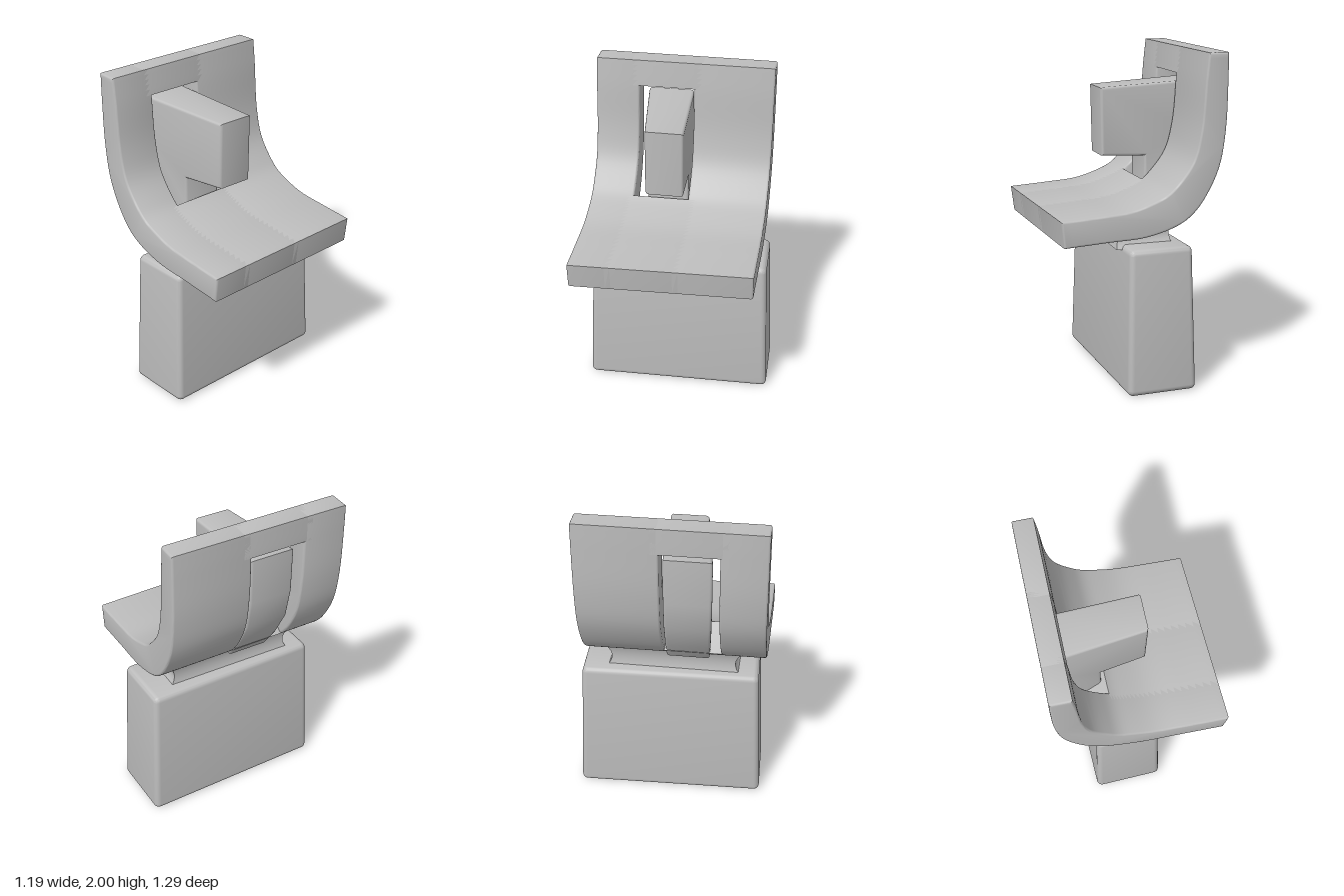
import * as THREE from 'three';
import { toCreasedNormals } from 'three/addons/utils/BufferGeometryUtils.js';
import { RoundedBoxGeometry } from 'three/addons/geometries/RoundedBoxGeometry.js';

const clay = new THREE.MeshStandardMaterial({ color: 0xbdbdbd });
clay.name = 'clay grey';

// Side profile of the shell, paired stations from the top of the back to the seat front
const curve = (pts) => new THREE.CatmullRomCurve3(pts.map(([x, y]) => new THREE.Vector3(x, y, 0)));
const inner = curve([[-0.377, 2], [-0.36, 1.84], [-0.335, 1.55], [-0.285, 1.37], [-0.18, 1.235],
  [-0.12, 1.185], [-0.03, 1.145], [0.107, 1.105], [0.31, 1.087], [0.545, 1.072]]);
const outer = curve([[-0.505, 2], [-0.505, 1.84], [-0.495, 1.55], [-0.455, 1.33], [-0.36, 1.145],
  [-0.28, 1.055], [-0.19, 1.0], [0.005, 0.945], [0.26, 0.93], [0.525, 0.915]]);

// Moves every vertex by a rule, then rebuilds smooth normals with sharp creases
function reshape(geometry, rule) {
  const p = geometry.attributes.position;
  const v = new THREE.Vector3();
  for (let i = 0; i < p.count; i++) {
    rule(v.fromBufferAttribute(p, i));
    p.setXYZ(i, v.x, v.y, v.z);
  }
  return toCreasedNormals(geometry, 0.65);
}

// Bevelled slab with a side outline, spanning z0 to z1
function slab(points, z0, z1, bevel) {
  const geometry = new THREE.ExtrudeGeometry(new THREE.Shape(points), {
    depth: z1 - z0 - 2 * bevel, bevelSize: bevel, bevelThickness: bevel,
    bevelOffset: -bevel, bevelSegments: 3, curveSegments: 8,
  });
  return geometry.translate(0, 0, z0 + bevel);
}

// Part of the shell between two stations
function shellPart(from, to, z0, z1) {
  const n = Math.ceil((to - from) * 5);
  const side = (c) => Array.from({ length: n + 1 }, (_, i) => {
    const q = c.getPoint((from + (to - from) * i / n) / 9);
    return new THREE.Vector2(q.x, q.y);
  });
  const geometry = slab([...side(inner), ...side(outer).reverse()], z0, z1, 0.013);
  // front edge runs slightly askew
  return reshape(geometry, (v) => { v.x += 0.04 * (v.z - 0.55) * Math.max(0, v.x + 0.5); });
}

export function createModel() {
  const model = new THREE.Group();
  model.name = 'chair';
  const body = new THREE.Group();
  body.name = 'turnedBody';
  body.rotation.y = -THREE.MathUtils.degToRad(11);
  model.add(body);

  const add = (name, geometry) => {
    const mesh = new THREE.Mesh(geometry, clay);
    mesh.name = name;
    body.add(mesh);
    return mesh;
  };

  // Curved shell around the slot; middle parts overlap the sides to close the seams
  add('shellLeftSide', shellPart(0, 9, 0.28, 0.55));
  add('shellRightSide', shellPart(0, 9, -0.55, -0.06));
  add('backTopRail', shellPart(0, 1, -0.12, 0.34));
  add('seatMiddle', shellPart(4.8, 9, -0.12, 0.34));

  // Post rising through the slot, with the block reaching forward over the seat
  const outline = [[-0.47, 1.79], [0.122, 1.765], [0.112, 1.35], [-0.165, 1.335], [-0.165, 1.18],
    [-0.13, 1.0], [-0.25, 1.0], [-0.345, 1.14], [-0.43, 1.31], [-0.465, 1.5]];
  const post = slab(outline.map(([x, y]) => new THREE.Vector2(x, y)), -0.05, 0.223, 0.018);
  add('postAndBlock', reshape(post, (v) => {
    const s = (v.x + 0.36) / 0.48;
    const k = (v.z + 0.05) / 0.273;
    v.z -= s * (0.024 + 0.043 * k);
  }));

  // Neck flaring out towards the seat and the pedestal
  const neck = new THREE.BoxGeometry(0.32, 0.16, 0.76, 1, 8, 1);
  add('neck', reshape(neck, (v) => {
    const flare = 1 + 0.1 * (v.y / 0.08) ** 2;
    v.x *= flare;
    v.z *= flare;
  })).position.set(-0.04, 0.935, -0.02);

  // Tapered pedestal
  const pedestal = new RoundedBoxGeometry(0.43, 0.88, 1.15, 4, 0.035);
  const base = add('pedestal', reshape(pedestal, (v) => {
    const t = v.y / 0.88 + 0.5;
    v.x *= 1 - 0.1 * t;
    v.z *= 1 - 0.06 * t;
  }));
  base.position.set(-0.08, 0.44, -0.04);
  base.rotation.y = 0.03;

  return model;
}
